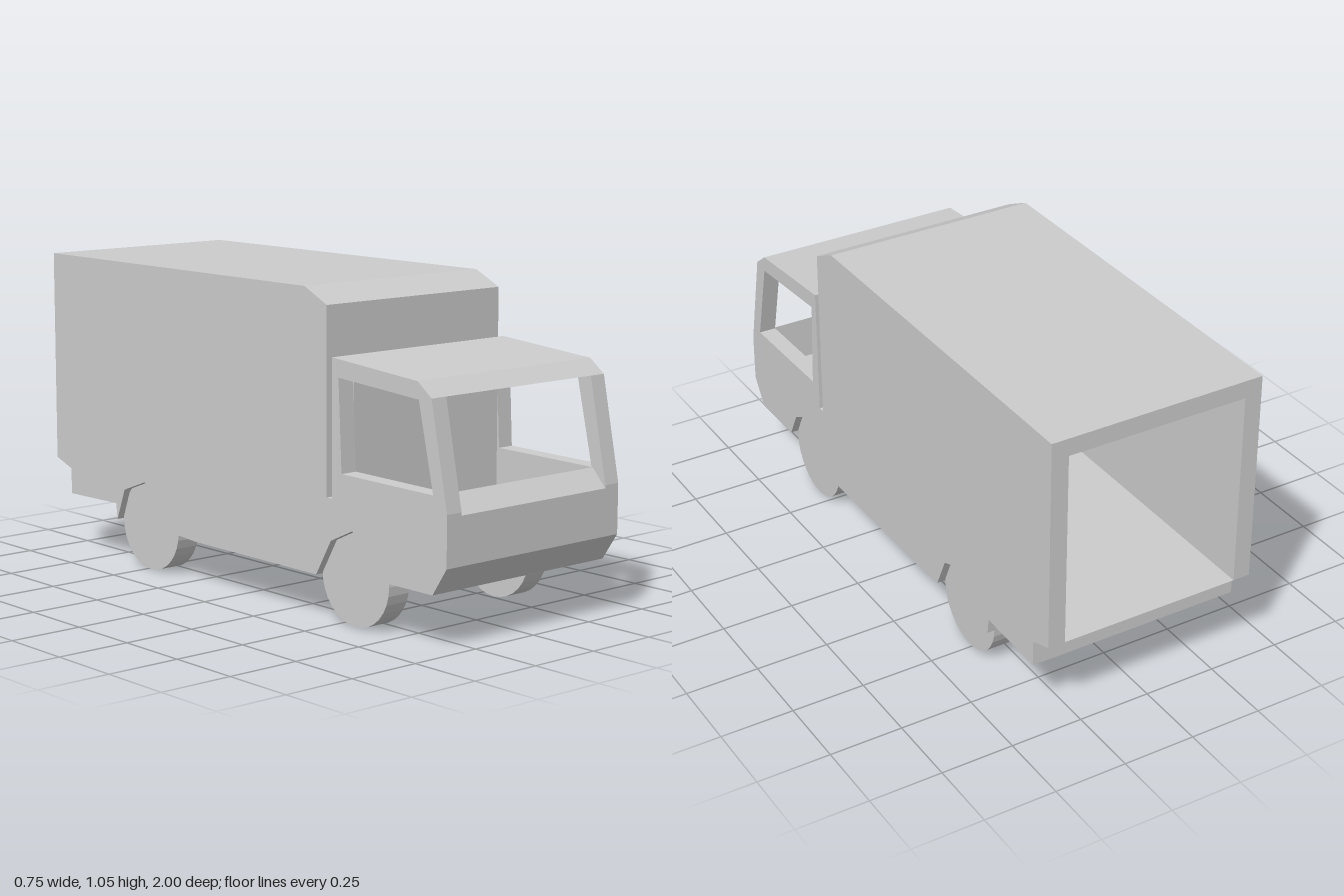
import * as THREE from 'three';

const HALF_WIDTH = 0.375;
const WALL = 0.06;
const INNER = HALF_WIDTH - WALL;
const WHEEL_RADIUS = 0.155;

// Profiles are lists of [z, y] points.
const UNDERSIDE = [
  [-1, 0.325], [-0.915, 0.295], [-0.915, 0.205], [-0.65, 0.21],
  // rear wheel arch
  [-0.643, 0.155], [-0.6, 0.265], [-0.485, 0.308], [-0.375, 0.265], [-0.325, 0.155],
  [-0.2, 0.147], [0.41, 0.145],
  // front wheel arch
  [0.48, 0.265], [0.58, 0.312], [0.675, 0.265], [0.722, 0.175],
  [0.94, 0.175], [1, 0.265],
];

// Cab roof, slot between cab and cargo box, cargo roof
const ROOF = [
  [0.93, 0.77], [0.87, 0.815], [0.485, 0.845], [0.485, 0.4],
  [0.46, 0.4], [0.46, 1.005], [0.355, 1.055], [-1, 1.055],
];

const SIDE_WINDOW = [[0.94, 0.48], [0.53, 0.485], [0.515, 0.785], [0.875, 0.76]];

const toPoints = (list) => list.map(([z, y]) => new THREE.Vector2(z, y));

// Extrudes a z/y profile along x, from x0 to x1
function extrudeAcross(profile, x0, x1, holes = []) {
  const shape = new THREE.Shape(toPoints(profile));
  for (const hole of holes) shape.holes.push(new THREE.Path(toPoints(hole)));
  const geometry = new THREE.ExtrudeGeometry(shape, { depth: x1 - x0, bevelEnabled: false });
  geometry.rotateY(-Math.PI / 2);
  geometry.translate(x1, 0, 0);
  return geometry;
}

export function createModel() {
  const truck = new THREE.Group();
  truck.name = 'boxTruck';

  const grey = new THREE.MeshStandardMaterial({ color: 0xcccccc, flatShading: true });
  grey.name = 'plainGrey';

  function add(name, geometry) {
    const mesh = new THREE.Mesh(geometry, grey);
    mesh.name = name;
    truck.add(mesh);
    return mesh;
  }

  // Side walls with the cab windows cut out
  const sideProfile = [...UNDERSIDE, [1, 0.43], ...ROOF];
  add('leftSideWall', extrudeAcross(sideProfile, INNER, HALF_WIDTH, [SIDE_WINDOW]));
  add('rightSideWall', extrudeAcross(sideProfile, -HALF_WIDTH, -INNER, [SIDE_WINDOW]));

  // Hollow middle: open windscreen and cab in front, open cargo box at the back
  const middleProfile = [
    ...UNDERSIDE,
    // dashboard, cab floor, cab back wall and cab ceiling
    [1, 0.42], [0.945, 0.48], [0.94, 0.33], [0.52, 0.33], [0.52, 0.785], [0.875, 0.76],
    ...ROOF,
    // cargo ceiling, front wall and floor
    [-1, 0.995], [0.4, 0.995], [0.4, 0.325],
  ];
  add('bodyShell', extrudeAcross(middleProfile, -INNER, INNER));

  // Wheels; the rear left has an inner twin
  const wheelGeometry = new THREE.CylinderGeometry(WHEEL_RADIUS, WHEEL_RADIUS, 0.085, 32);
  wheelGeometry.rotateZ(Math.PI / 2);
  const wheels = [
    ['frontLeftWheel', 0.305, 0.567],
    ['frontRightWheel', -0.307, 0.567],
    ['rearLeftWheel', 0.305, -0.485],
    ['rearLeftInnerWheel', 0.208, -0.485],
    ['rearRightWheel', -0.307, -0.485],
  ];
  for (const [name, x, z] of wheels) {
    add(name, wheelGeometry).position.set(x, WHEEL_RADIUS, z);
  }

  return truck;
}
